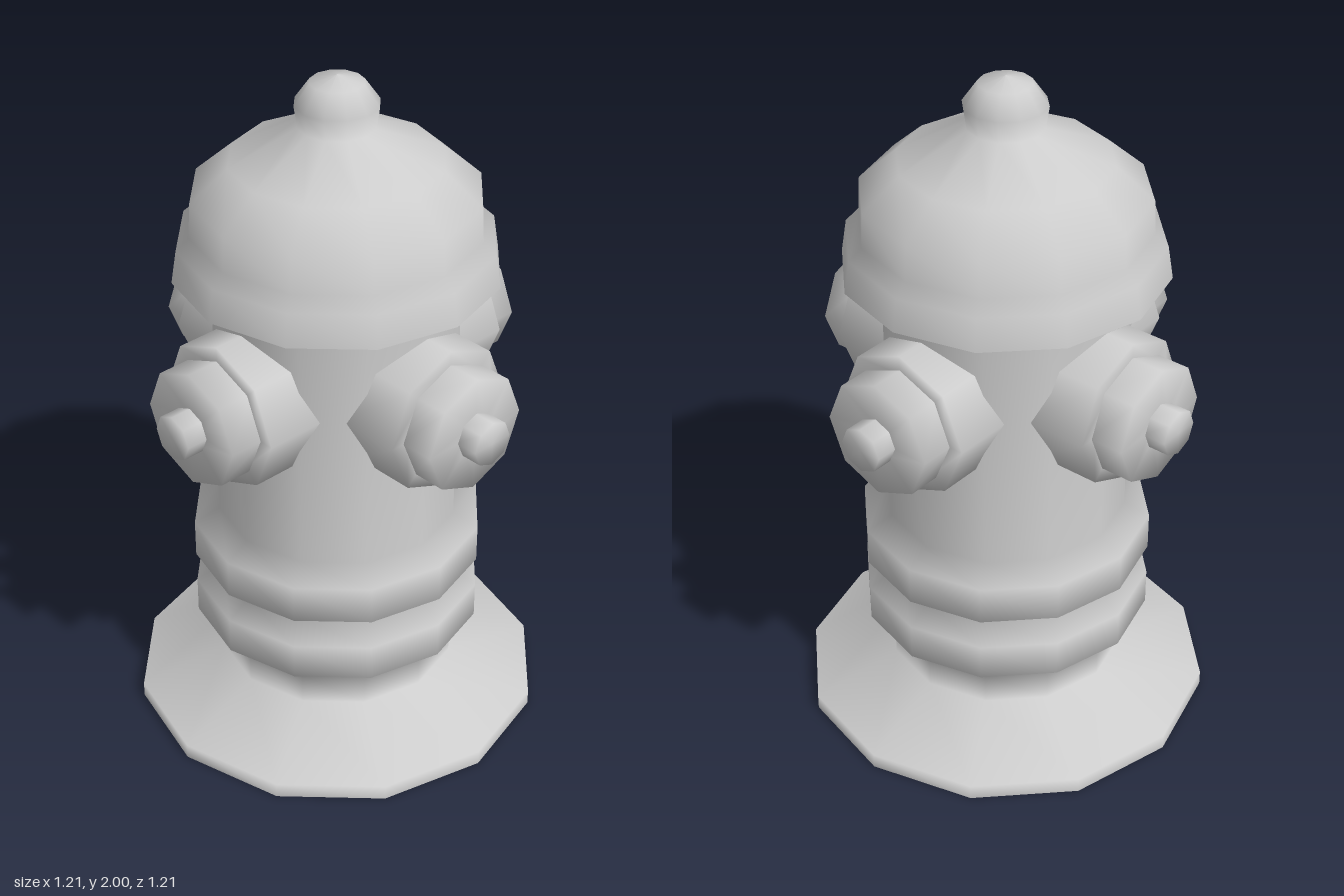
import * as THREE from 'three';

export function createModel() {
  const model = new THREE.Group();
  model.name = 'fireHydrant';
  const paint = new THREE.MeshStandardMaterial({ color: 0xcccccc, side: THREE.DoubleSide });
  paint.name = 'light grey';

  // Smooth turned part from [radius, height] pairs
  function turned(name, profile, sides) {
    const points = profile.map(([r, y]) => new THREE.Vector2(r, y));
    const mesh = new THREE.Mesh(new THREE.LatheGeometry(points, sides), paint);
    mesh.name = name;
    return mesh;
  }

  // Hollow barrel with flared foot and two raised bands
  model.add(turned('barrel', [
    [0.605, 0], [0.605, 0.045], [0.352, 0.15], [0.352, 0.25],
    [0.426, 0.305], [0.426, 0.415], [0.352, 0.46],
    [0.426, 0.51], [0.426, 0.625], [0.352, 0.665], [0.352, 1.435],
  ], 12));

  // Underside of the lid, then the domed lid with its knob
  model.add(turned('lidUnderside', [[0.3, 1.435], [0.46, 1.435]], 12));
  model.add(turned('lid', [
    [0.46, 1.435], [0.445, 1.53], [0.408, 1.565], [0.403, 1.667],
    [0.298, 1.76], [0.108, 1.857], [0.117, 1.92], [0.075, 1.98], [0, 2],
  ], 12));

  // Four eight-sided outlets: flange, cap and bolt
  ['front', 'left', 'back', 'right'].forEach((side, i) => {
    const outlet = new THREE.Group();
    outlet.name = side + 'Outlet';
    const parts = [
      turned('flange', [[0.215, 0.24], [0.215, 0.44], [0.16, 0.44]], 8),
      turned('cap', [[0.172, 0.43], [0.172, 0.538], [0.05, 0.538]], 8),
      turned('bolt', [[0.066, 0.53], [0.066, 0.601], [0, 0.601]], 8),
    ];
    for (const part of parts) {
      part.rotation.x = Math.PI / 2;
      outlet.add(part);
    }
    outlet.position.y = 1.135;
    outlet.rotation.y = i * Math.PI / 2;
    model.add(outlet);
  });

  return model;
}
